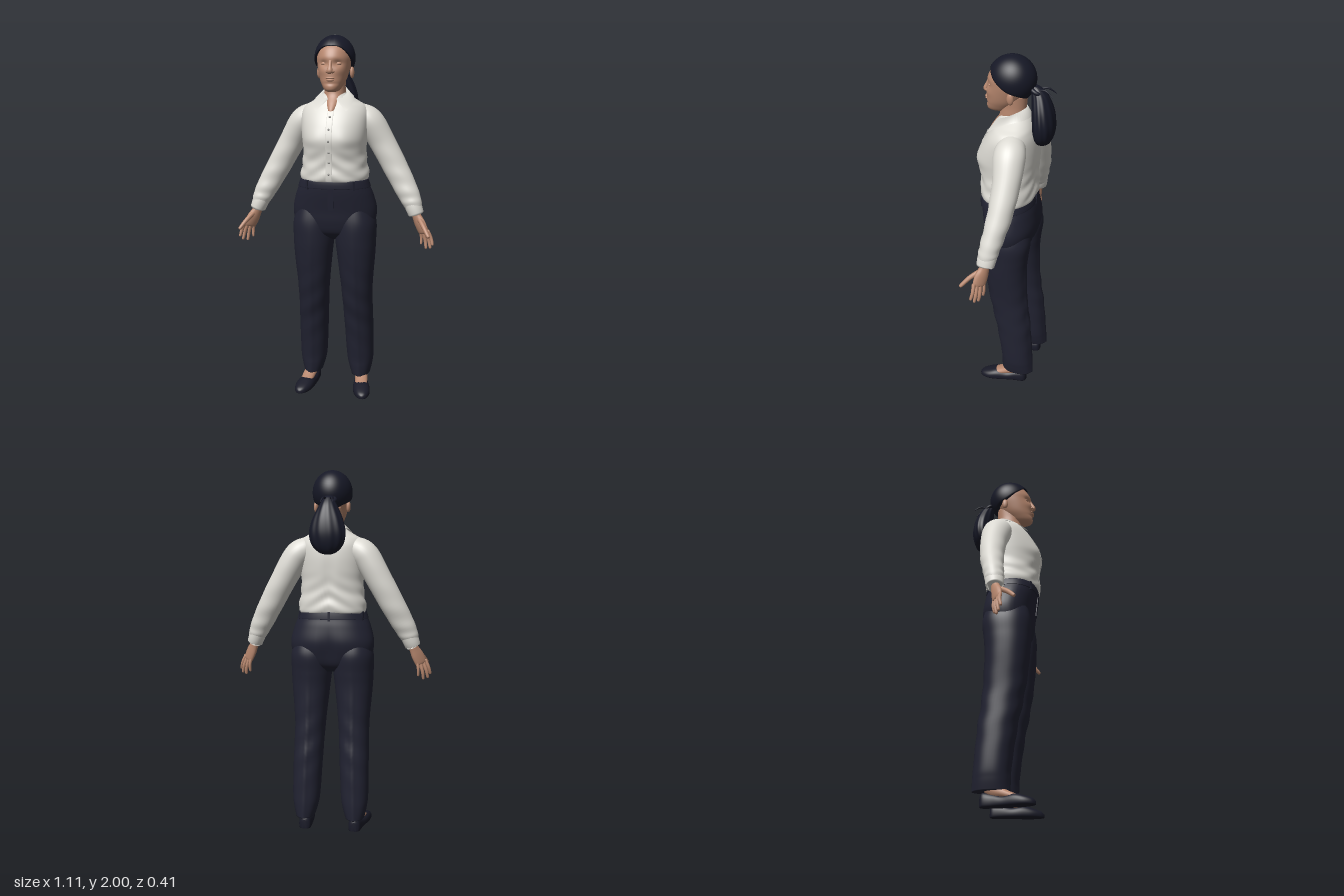
import * as THREE from 'three';

const mat = (name, color, side = THREE.FrontSide) => {
  const m = new THREE.MeshStandardMaterial({ color, side });
  m.name = name;
  return m;
};
const V = (x, y, z) => new THREE.Vector3(x, y, z);
const { sin, cos, exp, abs, sign, PI } = Math;
const bump = (d, w) => exp(-((d / w) ** 2));
const pw = (v, e) => sign(v) * abs(v) ** e;

// Smoothly resample rows of numbers (Catmull-Rom on every column)
function resample(rows, n) {
  const out = [];
  const at = i => rows[Math.min(rows.length - 1, Math.max(0, i))];
  for (let i = 0; i < rows.length - 1; i++)
    for (let s = 0; s < n; s++) {
      const t = s / n, [a, b, c, d] = [at(i - 1), at(i), at(i + 1), at(i + 2)];
      out.push(b.map((_, k) => b[k] + 0.5 * t * (c[k] - a[k] + t * (2 * a[k] - 5 * b[k] + 4 * c[k] - d[k]
        + t * (3 * (b[k] - c[k]) + d[k] - a[k])))));
    }
  out.push(rows[rows.length - 1]);
  return out;
}

// Surface through rings of points; closed rings get end caps
function skin(rings, closed = true) {
  const m = rings[0].length, pos = [], idx = [];
  rings.forEach(r => r.forEach(p => pos.push(p.x, p.y, p.z)));
  for (let i = 0; i < rings.length - 1; i++)
    for (let j = 0; j < (closed ? m : m - 1); j++) {
      const k = (j + 1) % m, a = i * m + j, b = i * m + k;
      idx.push(a, b, a + m, b, b + m, a + m);
    }
  if (closed) [0, rings.length - 1].forEach((r, end) => {
    const c = rings[r].reduce((s, p) => s.add(p), V(0, 0, 0)).divideScalar(m), o = pos.length / 3;
    pos.push(c.x, c.y, c.z);
    for (let j = 0; j < m; j++) {
      const a = r * m + j, b = r * m + (j + 1) % m;
      end ? idx.push(o, a, b) : idx.push(o, b, a);
    }
  });
  const g = new THREE.BufferGeometry();
  g.setAttribute('position', new THREE.Float32BufferAttribute(pos, 3));
  g.setIndex(idx);
  g.computeVertexNormals();
  return g;
}

// Upright body from rows [y, centreX, halfWidth, frontZ, backZ], bottom to top
function loft(rows, { seg = 48, n = 6, e = 0.92, mid = 0.5, deform } = {}) {
  return skin(resample(rows, n).map(([y, cx, rx, zf, zb]) => {
    const cz = zb + (zf - zb) * mid;
    return Array.from({ length: seg }, (_, j) => {
      const a = j / seg * 2 * PI, s = -sin(a);
      const p = V(cx + rx * pw(cos(a), e), y, cz + (s > 0 ? zf - cz : cz - zb) * pw(s, e));
      if (deform) deform(p, a, s, cx);
      return p;
    });
  }));
}

// Limb along rows [x, y, z, radius along wide, other radius]
function limb(rows, wide, { seg = 20, n = 6, ripple } = {}) {
  const r = resample(rows, n), c = r.map(p => V(p[0], p[1], p[2]));
  return skin(r.map((p, i) => {
    const t = c[Math.min(i + 1, c.length - 1)].clone().sub(c[Math.max(i - 1, 0)]).normalize();
    const u = wide.clone().addScaledVector(t, -wide.dot(t)).normalize(), v = t.clone().cross(u);
    return Array.from({ length: seg }, (_, j) => {
      const a = j / seg * 2 * PI, k = 1 + (ripple ? ripple(i / (r.length - 1), a) : 0);
      return c[i].clone().addScaledVector(u, k * p[3] * cos(a)).addScaledVector(v, k * p[4] * sin(a));
    });
  }));
}

function mirrored(g) {
  const m = g.clone().scale(-1, 1, 1), ix = m.index.array;
  for (let i = 0; i < ix.length; i += 3) [ix[i + 1], ix[i + 2]] = [ix[i + 2], ix[i + 1]];
  m.computeVertexNormals();
  return m;
}

export function createModel() {
  const root = new THREE.Group();
  const skinM = mat('skin', 0xb8886f), hairM = mat('hair', 0x161826), shirtM = mat('shirt', 0xdddbd4);
  const collarM = mat('collar cloth', 0xdddbd4, THREE.DoubleSide);
  const pantsM = mat('trousers', 0x212231), shoeM = mat('shoe', 0x191a27), seamM = mat('button grey', 0x94938f);
  const add = (name, g, m) => {
    const o = new THREE.Mesh(g, m);
    o.name = name;
    root.add(o);
    return o;
  };
  const pair = (name, g, m) => { add(name + 'Left', g, m); add(name + 'Right', mirrored(g), m); };
  const ball = (x, y, z, a, b, c) => new THREE.SphereGeometry(1, 20, 14).scale(a, b, c).translate(x, y, z);

  // Trousers: hips, waistband with loops, legs with a pressed crease
  const hips = [[0.9, 0, 0.14, 0.07, -0.05], [0.94, 0, 0.2, 0.125, -0.095], [1, 0, 0.226, 0.146, -0.118],
    [1.07, 0, 0.234, 0.155, -0.131], [1.15, 0, 0.215, 0.168, -0.122], [1.2, 0, 0.195, 0.174, -0.112],
    [1.235, 0, 0.184, 0.174, -0.108]];
  add('hips', loft(hips, { e: 0.88, deform: (p, a, s) => {
    if (s < 0) p.z += 0.014 * bump(p.x, 0.03) * bump(p.y - 1.02, 0.09);
  } }), pantsM);
  add('waistband', loft([[1.195, 0, 0.2, 0.178, -0.116], [1.2, 0, 0.199, 0.18, -0.117],
    [1.232, 0, 0.188, 0.18, -0.113], [1.238, 0, 0.184, 0.176, -0.11]], { n: 2, e: 0.88 }), pantsM);
  for (const a of [0.9, 2.24, 3.6, 4.71, 5.82]) {
    const s = sin(a), z = 0.032 + (s > 0 ? 0.147 : 0.148) * pw(s, 0.88);
    const loop = add('beltLoop', new THREE.BoxGeometry(0.014, 0.05, 0.008), pantsM);
    loop.position.set(0.194 * pw(cos(a), 0.88), 1.213, z);
    loop.rotation.y = Math.atan2(cos(a), s);
  }
  add('fly', new THREE.BoxGeometry(0.03, 0.12, 0.005).rotateX(0.12).translate(0.005, 1.14, 0.17), pantsM);
  pair('leg', loft([[0.075, 0.142, 0.054, 0.03, -0.15], [0.13, 0.14, 0.068, 0.033, -0.149],
    [0.2, 0.138, 0.077, 0.037, -0.145], [0.4, 0.132, 0.082, 0.067, -0.13], [0.6, 0.125, 0.087, 0.108, -0.106],
    [0.8, 0.122, 0.105, 0.136, -0.1], [0.9, 0.119, 0.113, 0.146, -0.108], [1, 0.118, 0.113, 0.148, -0.118],
    [1.1, 0.11, 0.09, 0.13, -0.09]], { n: 8, e: 0.9, deform: (p, a, s, cx) => {
    const fade = Math.min(1, Math.max(0, (1 - p.y) * 4));
    p.z += sign(s) * 0.007 * fade * bump(p.x - cx, 0.014);
    p.z += 0.003 * fade * bump(p.y - 0.5, 0.2) * sin(p.y * 45 + p.x * 30);
  } }), pantsM);

  // Shirt body with bust, folds and gathered hem
  const torso = [[1.222, 0, 0.176, 0.16, -0.1], [1.235, 0, 0.187, 0.18, -0.113], [1.27, 0, 0.187, 0.186, -0.117],
    [1.33, 0, 0.177, 0.182, -0.114], [1.4, 0, 0.172, 0.19, -0.118], [1.46, 0, 0.178, 0.197, -0.123],
    [1.53, 0, 0.184, 0.176, -0.124], [1.59, 0, 0.184, 0.143, -0.118], [1.63, 0, 0.165, 0.115, -0.106],
    [1.655, 0, 0.125, 0.1, -0.096], [1.68, 0, 0.085, 0.085, -0.08], [1.7, 0, 0.06, 0.072, -0.06]];
  add('shirtBody', loft(torso, { seg: 72, n: 8, mid: 0.42, e: 0.9, deform: (p, a, s) => {
    const low = bump(p.y - 1.3, 0.09);
    if (s > 0) p.z += 0.01 * s * bump(abs(p.x) - 0.085, 0.05) * bump(p.y - 1.45, 0.06);
    else p.z += 0.008 * bump(p.x, 0.03) * bump(p.y - 1.42, 0.12);
    p.z += sign(s) * abs(s) * 0.004 * low * sin(p.y * 75 + abs(p.x) * 45);
    p.x *= 1 + 0.018 * low * sin(p.y * 80 + s * 4);
  } }), shirtM);

  // Button placket following the chest line
  const chest = resample(torso, 8).filter(r => r[0] > 1.235 && r[0] < 1.61);
  const strip = o => chest.map(r => V(o, r[0], r[3] + 0.005 - 0.003 * (abs(o) > 0.014)));
  add('placket', skin([-0.017, -0.013, 0.013, 0.017].map(strip), false).scale(1, 1, 1), collarM);
  for (let i = 0; i < 6; i++) {
    const y = 1.275 + i * 0.06, r = chest.reduce((b, c) => abs(c[0] - y) < abs(b[0] - y) ? c : b);
    add('button', ball(0, r[0], r[3] + 0.006, 0.006, 0.006, 0.003), seamM);
  }
  add('placketSeam', skin([-0.0145, -0.0125].map(o => chest.map(r => V(o, r[0], r[3] + 0.006))), false), seamM)
    .geometry.computeVertexNormals();

  // Folded collar: inner stand, top edge, outer leaf with points
  const collar = [[], [], []];
  for (let k = 0; k <= 40; k++) {
    const a = (k / 40 * 2 - 1) * 2.85, f = (1 - cos(a)) / 2, s = sin(a);
    collar[0].push(V(0.06 * s, 1.69 - 0.07 * f, 0.018 - 0.07 * cos(a)));
    collar[1].push(V(0.068 * s, 1.74 - 0.072 * f, 0.018 - 0.077 * cos(a)));
    collar[2].push(V(0.105 * s + sign(a) * 0.055 * f ** 5, 1.69 - 0.088 * f * f, 0.018 - 0.1 * cos(a) + 0.02 * f));
  }
  add('collar', skin(collar, false), collarM);

  // Sleeves and cuffs
  const wideZ = V(0, 0, 1);
  pair('sleeve', limb([[0.11, 1.575, -0.02, 0.06, 0.06], [0.145, 1.57, -0.025, 0.075, 0.07],
    [0.192, 1.535, -0.03, 0.083, 0.075], [0.255, 1.43, -0.038, 0.073, 0.071], [0.335, 1.285, -0.03, 0.064, 0.067],
    [0.4, 1.165, -0.01, 0.055, 0.06], [0.432, 1.1, 0.002, 0.05, 0.05], [0.44, 1.08, 0.004, 0.044, 0.042]], wideZ,
  { seg: 32, n: 9, ripple: (t, a) => 0.035 * sin(t * 55 + 2 * sin(a)) * bump(t - 0.72, 0.22) * (0.6 + 0.4 * cos(a * 2)) }), shirtM);
  pair('cuff', limb([[0.428, 1.105, 0, 0.045, 0.044], [0.43, 1.1, 0.001, 0.05, 0.047],
    [0.45, 1.05, 0.008, 0.047, 0.043], [0.451, 1.047, 0.008, 0.04, 0.036]], wideZ, { n: 2, seg: 28 }), shirtM);

  // Hands: palm, four fingers, thumb
  const across = V(0.77, 0, 0.63);
  pair('palm', limb([[0.438, 1.08, 0.004, 0.026, 0.022], [0.455, 1.035, 0.012, 0.029, 0.021],
    [0.475, 0.995, 0.021, 0.038, 0.02], [0.494, 0.955, 0.028, 0.037, 0.015], [0.498, 0.944, 0.029, 0.028, 0.009]],
  across), skinM);
  const fingers = [[0.517, 0.967, 0.047, 0.548, 0.885, 0.056], [0.505, 0.957, 0.036, 0.535, 0.864, 0.042],
    [0.49, 0.953, 0.023, 0.511, 0.858, 0.028], [0.474, 0.96, 0.01, 0.482, 0.878, 0.012]];
  const digit = (a, b, r, bend) => {
    const m = a.clone().lerp(b, 0.5).add(bend), e = b.clone().lerp(m, 0.12);
    return limb([[...a, r, r], [...m, r * 0.95, r * 0.95], [...e, r * 0.75, r * 0.75], [...b, r * 0.2, r * 0.2]],
      across, { seg: 12, n: 4 });
  };
  fingers.forEach((f, i) => pair('finger', digit(V(...f.slice(0, 3)), V(...f.slice(3)), i === 3 ? 0.0085 : 0.01,
    V(0.004, 0, -0.005)), skinM));
  pair('thumb', digit(V(0.468, 1.025, 0.025), V(0.529, 0.942, 0.12), 0.013, V(0, 0.004, 0.004)), skinM);

  // Feet and flat shoes
  pair('foot', limb([[0.142, 0.15, -0.07, 0.036, 0.04], [0.145, 0.09, -0.05, 0.036, 0.045],
    [0.155, 0.058, 0.01, 0.036, 0.026], [0.163, 0.04, 0.07, 0.034, 0.016]], V(1, 0, 0)), skinM);
  const shoe = resample([[-0.115, 0.142, 0.012, 0.05], [-0.1, 0.142, 0.032, 0.07], [-0.05, 0.145, 0.038, 0.062],
    [0, 0.152, 0.043, 0.05], [0.06, 0.163, 0.049, 0.058], [0.11, 0.172, 0.046, 0.046], [0.15, 0.178, 0.029, 0.031],
    [0.166, 0.18, 0.008, 0.016]], 5);
  pair('shoe', skin(shoe.map(([z, cx, w, top]) => Array.from({ length: 28 }, (_, j) => {
    const a = j / 28 * 2 * PI;
    return V(cx + w * pw(cos(a), 0.8), Math.max(0, top * (0.3 + 0.7 * pw(sin(a), 0.9))), z);
  }))), shoeM);

  // Neck and head
  add('neck', loft([[1.58, 0, 0.02, 0.142, 0.02], [1.61, 0, 0.03, 0.137, 0], [1.645, 0, 0.046, 0.115, -0.03],
    [1.69, 0, 0.057, 0.085, -0.05], [1.74, 0, 0.056, 0.08, -0.055], [1.8, 0, 0.06, 0.08, -0.06]]), skinM);
  add('head', loft([[1.705, 0, 0.022, 0.135, 0.06], [1.715, 0, 0.04, 0.151, 0.03], [1.74, 0, 0.056, 0.155, 0],
    [1.77, 0, 0.07, 0.152, -0.03], [1.81, 0, 0.081, 0.15, -0.06], [1.85, 0, 0.089, 0.147, -0.085],
    [1.89, 0, 0.092, 0.142, -0.095], [1.94, 0, 0.08, 0.112, -0.08], [1.98, 0, 0.03, 0.05, -0.02]],
  { seg: 64, e: 0.95, deform: (p, a, s) => {
    if (s < 0) return;
    p.z -= 0.013 * bump(abs(p.x) - 0.037, 0.022) * bump(p.y - 1.85, 0.016);
    p.z += 0.005 * bump(abs(p.x) - 0.045, 0.025) * bump(p.y - 1.81, 0.02);
    p.z -= 0.005 * bump(p.y - 1.747, 0.009) * bump(p.x, 0.04);
  } }), skinM);
  add('nose', limb([[0, 1.865, 0.14, 0.009, 0.008], [0, 1.84, 0.15, 0.01, 0.01], [0, 1.815, 0.16, 0.015, 0.013],
    [0, 1.805, 0.16, 0.014, 0.01], [0, 1.799, 0.152, 0.006, 0.004]], V(1, 0, 0)), skinM);
  pair('nostril', ball(0.014, 1.808, 0.15, 0.009, 0.008, 0.011), skinM);
  pair('eyelid', ball(0.037, 1.849, 0.119, 0.018, 0.01, 0.012), skinM);
  pair('ear', ball(0.09, 1.805, 0.0, 0.012, 0.031, 0.018), skinM);
  add('upperLip', ball(0, 1.776, 0.151, 0.025, 0.006, 0.012), skinM);
  add('lowerLip', ball(0, 1.765, 0.151, 0.021, 0.007, 0.012), skinM);

  // Hair cap: hairline height by angle from the front, tucked under at the edge
  const line = resample([[1.935], [1.925], [1.878], [1.83], [1.808], [1.788], [1.775]], 6).map(r => r[0]);
  const cap = [];
  for (let i = 0; i <= 22; i++)
    cap.push(Array.from({ length: 72 }, (_, j) => {
      const edge = Math.acos((line[j <= 36 ? j : 72 - j] - 1.88) / 0.12);
      const th = edge * Math.min(1, (21 - Math.min(i, 21)) / 21 + 0.001), f = j / 72 * 2 * PI;
      const k = i === 0 ? 0.86 : 1 - 0.025 * bump(sin(f) * sin(th), 0.05) * (cos(f) > 0);
      return V(k * 0.109 * sin(th) * sin(f), 1.88 + 0.12 * k * cos(th), 0.015 + (cos(f) > 0 ? 0.128 : 0.12) * k * sin(th) * cos(f));
    }));
  cap[0].forEach((p, j) => { p.y = cap[1][j].y; });
  cap.splice(1, 0, cap.shift());
  add('hairCap', skin([cap[1], ...[cap[0]], ...cap.slice(2)]), hairM);

  // Ponytail with strand grooves, tie and loose ends
  add('ponytail', loft([[1.545, 0, 0.012, -0.13, -0.155], [1.56, 0, 0.05, -0.108, -0.182], [1.6, 0, 0.085, -0.098, -0.2],
    [1.66, 0, 0.097, -0.094, -0.207], [1.73, 0, 0.082, -0.09, -0.197], [1.8, 0, 0.05, -0.085, -0.172],
    [1.84, 0, 0.029, -0.08, -0.142], [1.855, 0, 0.018, -0.075, -0.12]], { seg: 72, e: 1, deform: (p, a) => {
    const k = 1 + 0.022 * sin(a * 11 + p.y * 8);
    p.x *= k;
    p.z = -0.14 + (p.z + 0.14) * k;
  } }), hairM);
  add('hairTie', new THREE.TorusGeometry(0.034, 0.011, 10, 28).rotateX(PI / 2 - 0.5).translate(0, 1.832, -0.11), hairM);
  for (const x of [-0.012, 0.01])
    add('looseStrand', limb([[x, 1.835, -0.12, 0.006, 0.006], [x * 2, 1.842, -0.16, 0.006, 0.005],
      [x * 3, 1.815, -0.2, 0.002, 0.002]], V(1, 0, 0), { seg: 8 }), hairM);
  return root;
}
